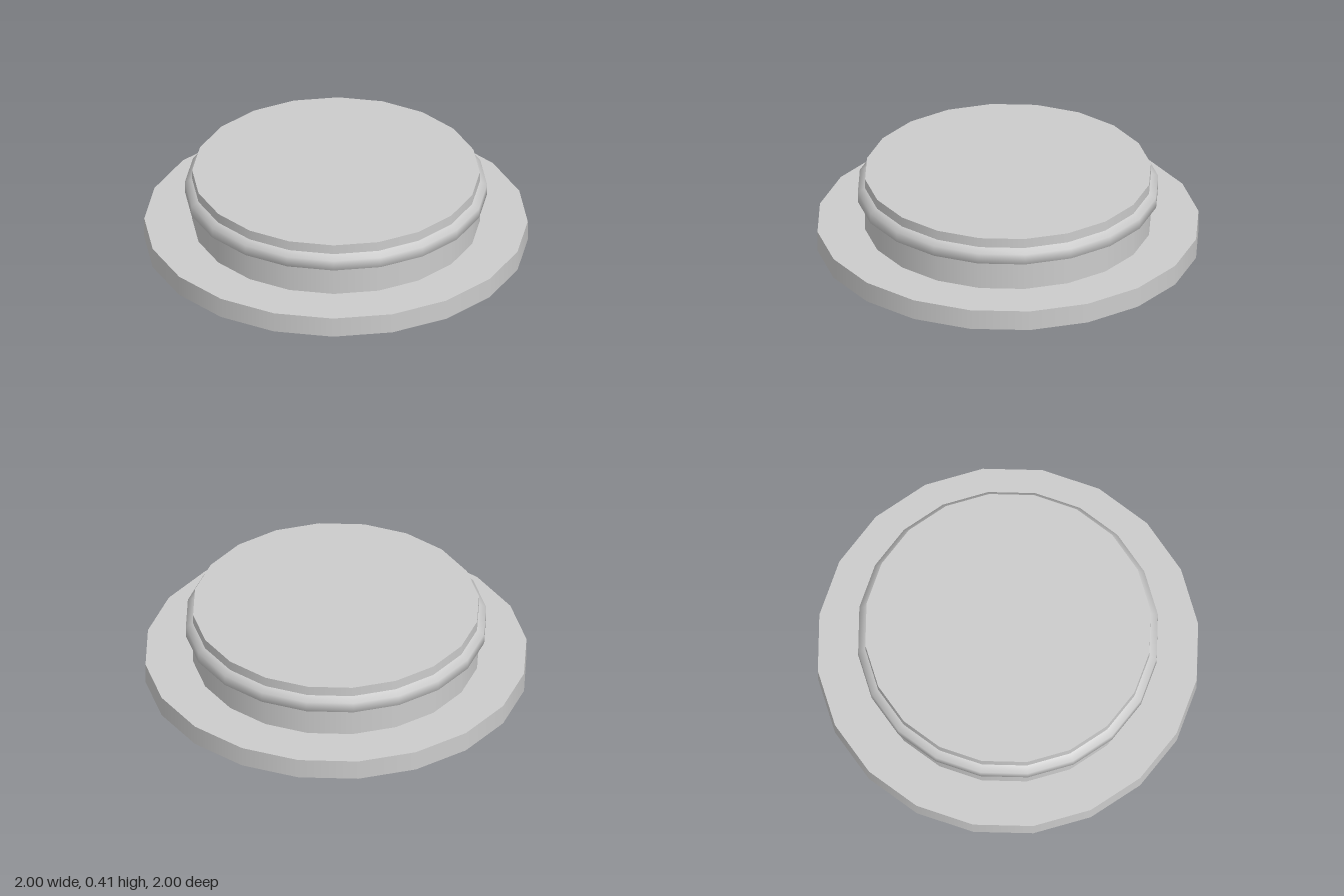
import * as THREE from 'three';

const SIDES = 20;

export function createModel() {
  const group = new THREE.Group();
  const material = new THREE.MeshStandardMaterial({ color: 0xcccccc, side: THREE.DoubleSide });

  // Each band of the thin shell is its own lathe, so joins stay sharp
  const band = (name, profile) => {
    const points = profile.map(([r, y]) => new THREE.Vector2(r, y));
    const mesh = new THREE.Mesh(new THREE.LatheGeometry(points, SIDES), material);
    mesh.name = name;
    group.add(mesh);
  };

  // Flange, open underneath
  band('flangeSkirt', [[1, 0], [1, 0.11]]);
  band('flangeTop', [[1, 0.11], [0.75, 0.11]]);

  // Neck with a rounded bead pressed outwards
  band('neckWall', [[0.75, 0.11], [0.75, 0.257]]);
  band('bead', [[0.75, 0.257], [0.788, 0.275], [0.788, 0.332], [0.75, 0.352]]);
  band('neckRim', [[0.75, 0.352], [0.75, 0.405]]);

  // Closed top
  band('topDisc', [[0.75, 0.405], [0, 0.405]]);

  return group;
}
